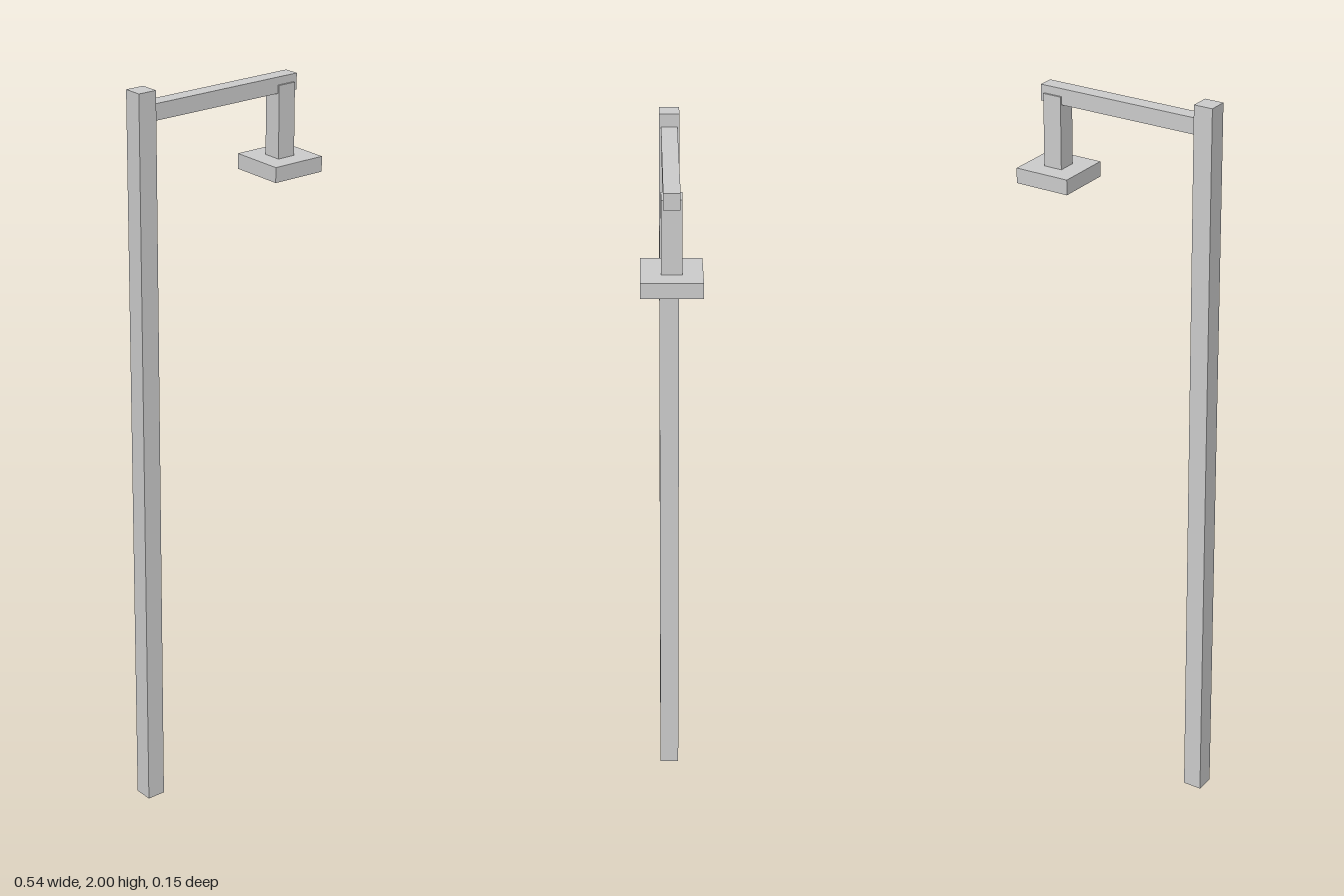
import * as THREE from 'three';

export function createModel() {
  const model = new THREE.Group();
  const material = new THREE.MeshStandardMaterial({ color: 0xcccccc, flatShading: true });

  // Square-section bar spanning x0..x1, y0..y1, centred on z = 0
  const addBar = (name, x0, x1, y0, y1, depth) => {
    const mesh = new THREE.Mesh(new THREE.BoxGeometry(x1 - x0, y1 - y0, depth), material);
    mesh.position.set((x0 + x1) / 2, (y0 + y1) / 2, 0);
    mesh.name = name;
    model.add(mesh);
  };

  addBar('post', -0.273, -0.221, 0, 2, 0.052);
  // The arm starts inside the post
  addBar('arm', -0.247, 0.231, 1.922, 1.965, 0.042);
  // The hanger is slightly wider than the arm and ends inside it
  addBar('lampHanger', 0.169, 0.221, 1.74, 1.944, 0.052);
  addBar('lampHead', 0.118, 0.272, 1.709, 1.75, 0.154);

  return model;
}
